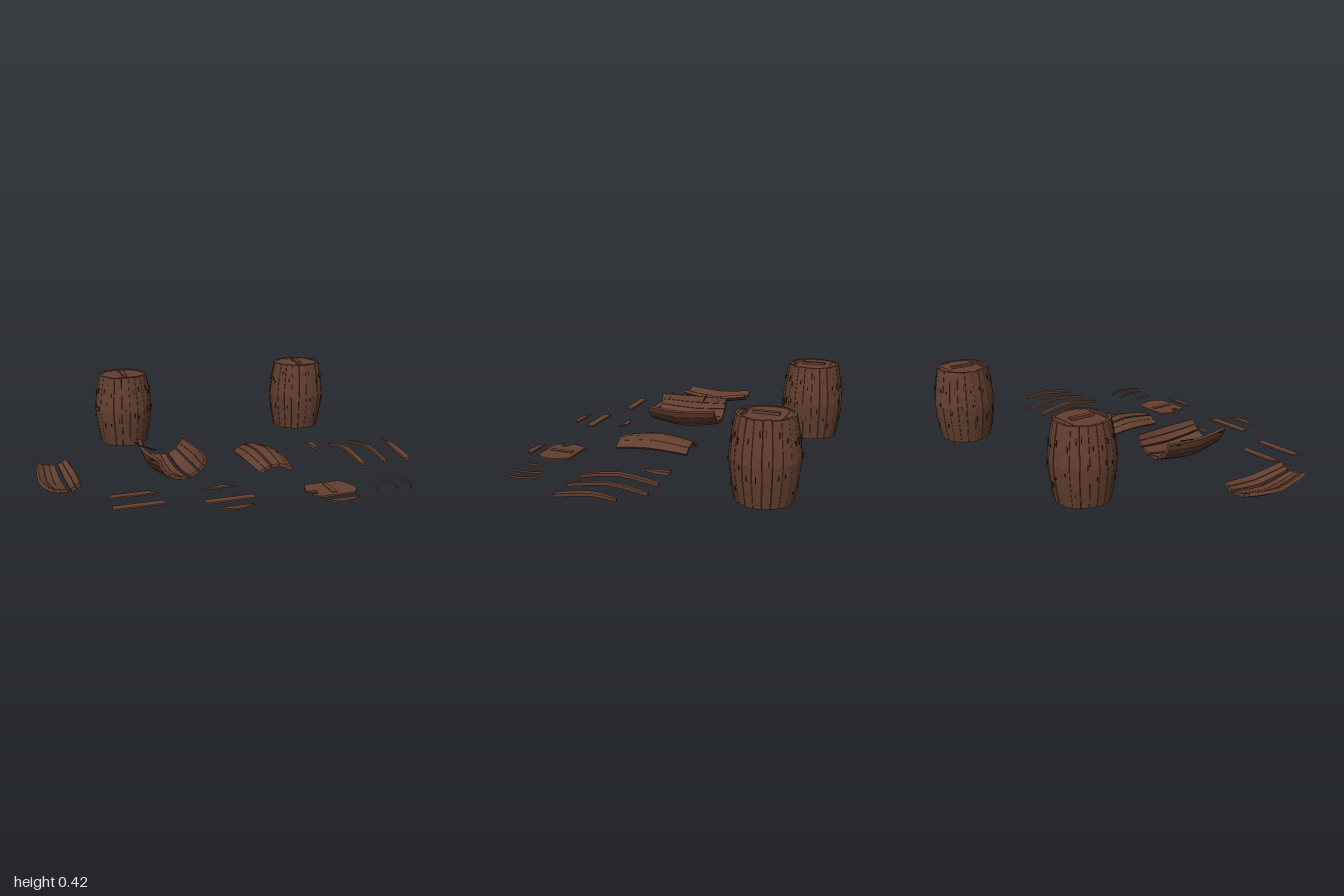
import * as THREE from 'three';

const wood = new THREE.MeshStandardMaterial({ color: 0x633f2f });
wood.name = 'brown wood';
wood.flatShading = true;
const dark = new THREE.MeshStandardMaterial({ color: 0x2e1c14 });
dark.name = 'dark iron';

// Seeded random numbers
let seed = 7;
const rnd = () => (seed = (seed * 16807) % 2147483647) / 2147483647;

// Barrel half height, and its outer radius at height y (-H..H)
const H = 0.2;
const radius = y => 0.166 - 0.029 * Math.pow(Math.abs(y) / H, 1.4);

function add(parent, name, geo, mat = wood) {
  const m = new THREE.Mesh(geo, mat);
  m.name = name;
  parent.add(m);
  return m;
}

// One bowed stave between two angles; taper narrows the upper end
function stave(a0, a1, { lo = -H, hi = H, thick = 0.014, dr = 0, taper = 1 } = {}) {
  const N = 6, pos = [], rows = [];
  for (let i = 0; i <= N; i++) {
    const y = lo + (hi - lo) * i / N, r = radius(y) + dr;
    const b = a0 + (a1 - a0) * (1 + (taper - 1) * Math.max(0, i / N - 0.4) / 0.6);
    const p = (rad, a) => [rad * Math.sin(a), y, rad * Math.cos(a)];
    rows.push([p(r, a0), p(r, b), p(r - thick, b), p(r - thick, a0)]);
  }
  const quad = (a, b, c, d) => pos.push(...a, ...b, ...c, ...a, ...c, ...d);
  for (let i = 0; i < N; i++)
    for (let k = 0; k < 4; k++) {
      const j = (k + 1) % 4;
      quad(rows[i][k], rows[i][j], rows[i + 1][j], rows[i + 1][k]);
    }
  quad(...rows[N]);
  quad(...rows[0].slice().reverse());
  const g = new THREE.BufferGeometry();
  g.setAttribute('position', new THREE.Float32BufferAttribute(pos, 3));
  g.computeVertexNormals();
  return g;
}

// Flat board from an outline of [x, z] points
function board(pts, y, h) {
  const g = new THREE.ExtrudeGeometry(
    new THREE.Shape(pts.map(([x, z]) => new THREE.Vector2(x, -z))), { depth: h, bevelEnabled: false });
  return g.rotateX(-Math.PI / 2).translate(0, y, 0);
}

// Slice of a disc between two z values
function slice(r, z0, z1) {
  const pts = [], n = 10;
  const half = z => Math.sqrt(Math.max(0, r * r - z * z));
  for (let i = 0; i <= n; i++) { const z = z0 + (z1 - z0) * i / n; pts.push([half(z) + 0.0005, z]); }
  for (let i = n; i >= 0; i--) { const z = z0 + (z1 - z0) * i / n; pts.push([-half(z) - 0.0005, z]); }
  return pts;
}

// Shallow dark split in the face of a stave
function crack(parent, a, y, len) {
  const g = new THREE.BoxGeometry(0.003, len, 0.004);
  const m = add(parent, 'crack', g, dark);
  const slope = (radius(y + 0.01) - radius(y - 0.01)) / 0.02;
  const r = radius(y) + 0.001;
  m.position.set(r * Math.sin(a), y, r * Math.cos(a));
  m.rotation.set(Math.atan(slope), a, 0, 'YXZ');
}

function barrel(x, z, openBase) {
  const g = new THREE.Group();
  g.name = 'barrel';
  const n = 22, step = Math.PI * 2 / n;
  for (let i = 0; i < n; i++) {
    const a = i * step;
    const worn = Math.abs(a - 1.65) < 0.2;
    add(g, 'stave', stave(a + 0.004 + rnd() * 0.006, a + step - 0.004, {
      lo: -H - rnd() * 0.003, hi: H - rnd() * 0.004,
      dr: worn ? -0.006 : -rnd() * 0.003
    }));
    crack(g, a + step * (0.2 + 0.6 * rnd()), 0.08 + rnd() * 0.07, 0.015 + rnd() * 0.02);
    crack(g, a + step * (0.2 + 0.6 * rnd()), -0.14 + rnd() * 0.16, 0.012 + rnd() * 0.02);
  }
  // Head and base boards
  const r = 0.127;
  const cuts = [[-r, -0.092], [-0.09, 0.086], [0.108, r]];
  for (const [a, b] of cuts) add(g, 'headBoard', board(slice(r, a, b), H - 0.016, 0.01));
  const base = openBase ? cuts : [[-r, r]];
  for (const [a, b] of base) add(g, 'baseBoard', board(slice(r, a, b), -H + 0.022, 0.01));
  const handle = add(g, 'handle', new THREE.BoxGeometry(0.026, 0.016, 0.125));
  handle.position.y = H - 0.002;
  handle.rotation.y = -0.06;
  g.position.set(x, 0.219, z);
  return g;
}

// Fallen section of barrel wall: ranges of angles, split into staves
function section(name, x, y, ranges, arch) {
  const g = new THREE.Group();
  g.name = name;
  for (const [a, b] of ranges) {
    const n = Math.max(1, Math.round((b - a) / 0.28)), s = (b - a) / n;
    for (let i = 0; i < n; i++) {
      add(g, 'stave', stave(a + i * s + 0.006, a + (i + 1) * s - 0.006, {
        lo: -H + rnd() * 0.006, hi: H - rnd() * 0.006, thick: 0.018, dr: -rnd() * 0.004
      }));
    }
  }
  g.position.set(x, y, 0.11);
  g.rotation.x = arch ? -Math.PI / 2 : Math.PI / 2;
  return g;
}

export function createModel() {
  const root = new THREE.Group();
  root.name = 'barrelsAndWreckage';
  root.add(barrel(-0.395, -0.597, false), barrel(0.71, -0.597, true));

  // Broken wall sections
  root.add(section('smallWallSection', -0.9, 0.187, [[-0.64, 0.12], [0.25, 0.69]], false));
  const large = section('largeWallSection', -0.305, 0.187,
    [[-1.4, 0.15], [0.27, 0.67], [0.72, 1.25]], false);
  root.add(large);
  root.add(section('archedWallSection', 0.2, -0.055, [[-0.76, -0.27], [-0.21, 0.76]], true));

  // Nails sticking out of the large section
  for (const [z, len] of [[-0.04, 0.05], [0.045, 0.1], [0.26, 0.05]]) {
    const nail = add(root, 'nail', new THREE.CylinderGeometry(0.003, 0.003, len, 6), dark);
    nail.position.set(-0.47 + len / 2, 0.155, z);
    nail.rotation.z = 1.2;
  }

  // Loose staves: x, half angle, z range, taper
  for (const [x, w, z0, z1, taper] of [
    [0.705, 0.09, -0.09, 0.31, 1], [0.84, 0.065, -0.09, 0.31, 1],
    [0.98, 0.12, 0, 0.31, 0.3]]) {
    const s = add(root, 'looseStave', stave(-w, w, { lo: 0.11 - z1, hi: 0.11 - z0, taper, thick: 0.016 }));
    s.rotation.x = -Math.PI / 2;
    s.position.set(x, -0.105, 0.11);
    if (taper < 1) { s.scale.x = -1; s.geometry.index = null; mirrorFix(s); }
  }
  add(root, 'staveSplinter', board([[0.56, -0.1], [0.592, -0.1], [0.59, -0.02], [0.567, 0.03], [0.562, -0.02]], 0.03, 0.016))
    .rotation.set(0, 0, 0);

  // Loose lid boards
  const lidBoards = [
    [[-0.685, 0.38], [-0.505, 0.38], [-0.475, 0.42], [-0.72, 0.42]],
    [[-0.715, 0.528], [-0.475, 0.528], [-0.466, 0.57], [-0.727, 0.57]],
    [[-0.255, 0.447], [-0.15, 0.415], [-0.075, 0.447]],
    [[-0.298, 0.592], [-0.038, 0.592], [-0.048, 0.635], [-0.29, 0.635]],
    [[-0.26, 0.71], [-0.083, 0.71], [-0.12, 0.735], [-0.17, 0.745], [-0.22, 0.735]]
  ];
  for (const p of lidBoards) add(root, 'lidBoard', board(p, 0.036, 0.008));

  // Broken lid with its handle and an end piece
  add(root, 'brokenLid', board([[0.28, 0.49], [0.465, 0.49], [0.49, 0.53], [0.503, 0.58], [0.495, 0.63],
    [0.468, 0.67], [0.28, 0.67], [0.253, 0.63], [0.29, 0.622], [0.292, 0.59], [0.245, 0.58], [0.25, 0.55],
    [0.262, 0.515]], 0.01, 0.009));
  const handle = add(root, 'lidHandle', new THREE.BoxGeometry(0.026, 0.022, 0.125));
  handle.position.set(0.372, 0.012, 0.578);
  handle.rotation.y = -0.06;
  add(root, 'lidEnd', board([[0.283, 0.722], [0.462, 0.722], [0.43, 0.745], [0.375, 0.757], [0.32, 0.747]], 0.01, 0.009));

  // Curved rim splinters
  for (const [xm, zc, half] of [[0.606, 0.62, 0.05], [0.718, 0.603, 0.087], [0.802, 0.605, 0.107]]) {
    const out = [], inn = [], R = 0.15, span = Math.asin(half / R);
    for (let i = 0; i <= 10; i++) {
      const a = span * (i / 5 - 1), w = 0.006 * Math.cos(a / span * 1.3);
      out.push([xm - R + R * Math.cos(a), zc + R * Math.sin(a)]);
      inn.unshift([xm - R + (R - w) * Math.cos(a), zc + (R - w) * Math.sin(a)]);
    }
    add(root, 'rimSplinter', board([...out, ...inn], 0.008, 0.01));
  }
  return root;
}

// Bake a mirrored stave so its faces still point outward
function mirrorFix(mesh) {
  mesh.scale.x = 1;
  const p = mesh.geometry.attributes.position;
  for (let i = 0; i < p.count; i++) p.setX(i, -p.getX(i));
  for (let i = 0; i < p.count; i += 3) {
    const t = [p.getX(i), p.getY(i), p.getZ(i)];
    p.setXYZ(i, p.getX(i + 1), p.getY(i + 1), p.getZ(i + 1));
    p.setXYZ(i + 1, ...t);
  }
  mesh.geometry.computeVertexNormals();
}
